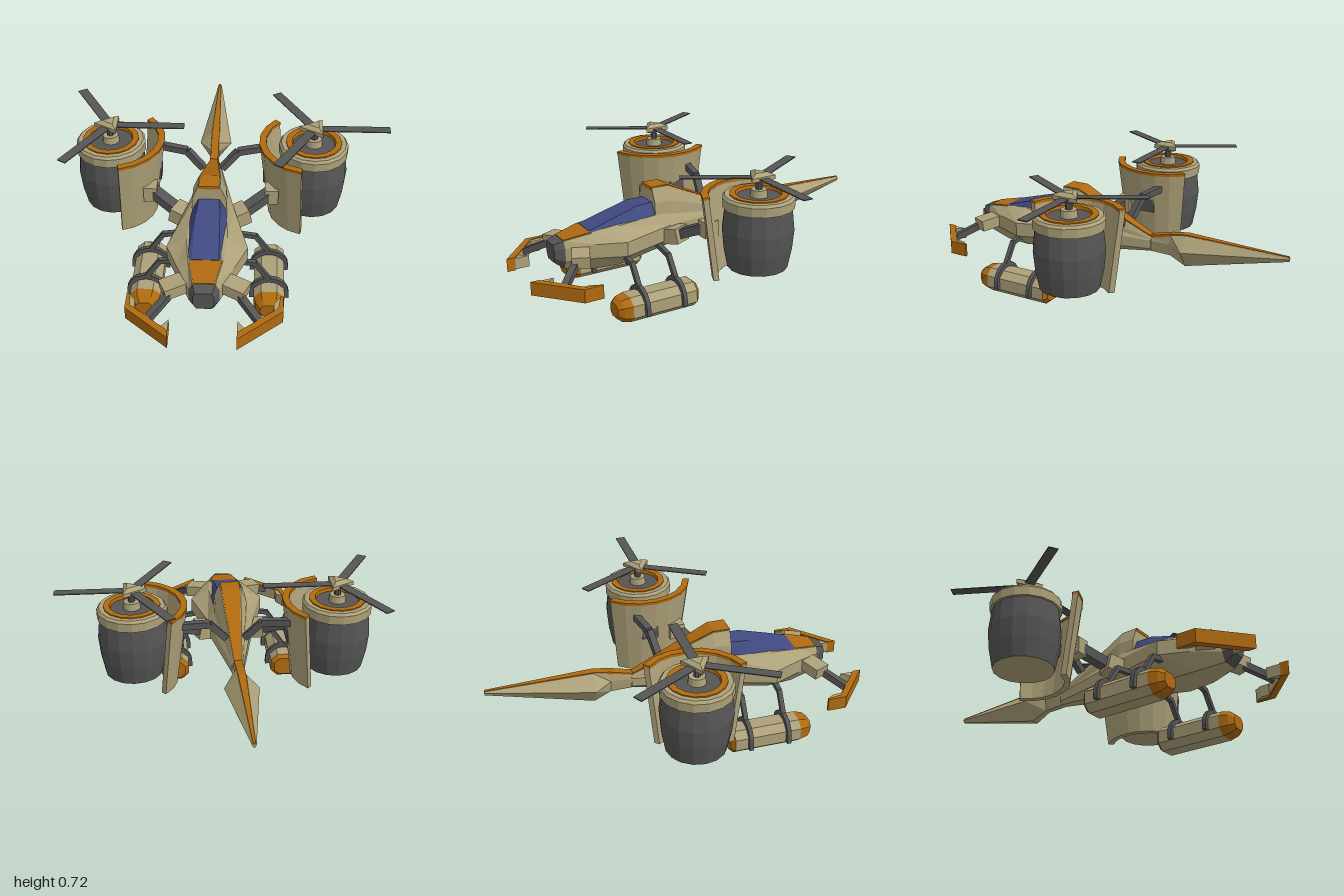
import * as THREE from 'three';

const mat = (color) => new THREE.MeshStandardMaterial({ color, flatShading: true });
const TAN = mat(0xada179), ORANGE = mat(0xb06a10), GREY = mat(0x555555), BLUE = mat(0x414b82);
const V = (x, y, z) => new THREE.Vector3(x, y, z);

// Reverses the triangles of a non-indexed geometry
function reverse(geo) {
  const p = geo.attributes.position;
  const a = V(), b = V();
  for (let i = 0; i < p.count; i += 3) {
    a.fromBufferAttribute(p, i + 1);
    b.fromBufferAttribute(p, i + 2);
    p.setXYZ(i + 1, b.x, b.y, b.z);
    p.setXYZ(i + 2, a.x, a.y, a.z);
  }
}

// Adds a mesh; s = -1 mirrors it to the right-hand side
function add(parent, name, geo, material, s = 1) {
  let g = geo;
  if (s < 0) {
    g = geo.index ? geo.toNonIndexed() : geo.clone();
    g.scale(-1, 1, 1);
    reverse(g);
  }
  g.computeVertexNormals();
  const mesh = new THREE.Mesh(g, material);
  mesh.name = name;
  parent.add(mesh);
}

// Closed solid through rings of points, always facing outwards
function loft(rings) {
  const out = [], n = rings[0].length;
  const tri = (a, b, c) => out.push(...a.toArray(), ...b.toArray(), ...c.toArray());
  for (let k = 0; k < rings.length - 1; k++) {
    for (let i = 0; i < n; i++) {
      const j = (i + 1) % n, A = rings[k], B = rings[k + 1];
      tri(A[i], A[j], B[j]);
      tri(A[i], B[j], B[i]);
    }
  }
  const first = rings[0], last = rings[rings.length - 1];
  for (let i = 1; i < n - 1; i++) {
    tri(first[0], first[i + 1], first[i]);
    tri(last[0], last[i], last[i + 1]);
  }
  const geo = new THREE.BufferGeometry();
  geo.setAttribute('position', new THREE.Float32BufferAttribute(out, 3));
  let volume = 0;
  for (let i = 0; i < out.length; i += 9) {
    volume += V(...out.slice(i, i + 3)).dot(V(...out.slice(i + 3, i + 6)).cross(V(...out.slice(i + 6, i + 9))));
  }
  if (volume < 0) reverse(geo);
  return geo;
}

// Symmetric hull: each section is [z, halfWidth, y, halfWidth, y, ...] from top to bottom
const hull = (sections, cx = 0) => loft(sections.map(([z, ...p]) => {
  const right = [], left = [];
  for (let i = 0; i < p.length; i += 2) {
    right.push(V(cx + p[i], p[i + 1], z));
    left.unshift(V(cx - p[i], p[i + 1], z));
  }
  return [...right, ...left];
}));

// Square beam between two points
function beam(p, q, w, h = w) {
  const a = V(...p), b = V(...q);
  const geo = new THREE.BoxGeometry(w, h, a.distanceTo(b));
  geo.applyMatrix4(new THREE.Matrix4().lookAt(a, b, V(0, 1, 0)));
  const m = a.add(b).multiplyScalar(0.5);
  return geo.translate(m.x, m.y, m.z);
}

const box = (w, h, d, x, y, z) => new THREE.BoxGeometry(w, h, d).translate(x, y, z);
const lathe = (pts, sides = 16) => new THREE.LatheGeometry(pts.map((p) => new THREE.Vector2(...p)), sides);

// Flat plan outline in x and z, from height y0 to y1
function slab(pts, y0, y1) {
  const shape = new THREE.Shape(pts.map(([x, z]) => new THREE.Vector2(x, -z)));
  const geo = new THREE.ExtrudeGeometry(shape, { depth: y1 - y0, bevelEnabled: false });
  return geo.rotateX(-Math.PI / 2).translate(0, y0, 0);
}

// Curved guard beside the engine, narrowing downwards
function shield(y0, y1, r0, r1, t) {
  const rings = [];
  for (let i = 0; i <= 7; i++) {
    const a = THREE.MathUtils.degToRad(-46 + i * 17.3);
    const at = (r, y) => V(0.53 - r * Math.cos(a), y, -0.065 + r * Math.sin(a));
    rings.push([at(r1, y1), at(r0, y0), at(r0 - t, y0), at(r1 - t, y1)]);
  }
  return loft(rings);
}

function buildEngine(parent, s) {
  const engine = new THREE.Group();
  engine.name = s > 0 ? 'leftEngine' : 'rightEngine';
  engine.position.set(s * 0.53, 0, -0.065);
  add(engine, 'engineBody', lathe([[0.152, 0.238], [0.172, 0.34], [0.181, 0.44], [0.168, 0.56]]), GREY);
  add(engine, 'engineBase', lathe([[0, 0.238], [0.152, 0.238]]), TAN);
  add(engine, 'engineCollar', lathe([[0.16, 0.553], [0.18, 0.553], [0.181, 0.6], [0.17, 0.614], [0.14, 0.614]]), TAN);
  add(engine, 'intakeRing', lathe([[0.146, 0.605], [0.146, 0.62], [0.115, 0.62], [0.11, 0.6]]), ORANGE);
  add(engine, 'intakeDisc', lathe([[0.115, 0.603], [0, 0.603]]), GREY);
  add(engine, 'shaftBase', lathe([[0.045, 0.6], [0.04, 0.64], [0, 0.64]]), TAN);
  add(engine, 'shaft', lathe([[0.018, 0.63], [0.018, 0.69]], 8), GREY);
  const hub = lathe([[0, 0.676], [0.035, 0.676], [0.08, 0.69], [0.08, 0.71], [0.04, 0.727], [0, 0.727]], 3);
  add(engine, 'rotorHub', hub.rotateY(-Math.PI / 2), TAN);
  for (let i = 0; i < 3; i++) {
    add(engine, 'rotorBlade', box(0.36, 0.005, 0.05, 0.207, 0.7, 0).rotateY(i * Math.PI * 2 / 3), GREY);
  }
  parent.add(engine);
}

function buildSide(parent, s) {
  const side = new THREE.Group();
  side.name = s > 0 ? 'leftSide' : 'rightSide';
  parent.add(side);
  const put = (name, geo, m) => add(side, name, geo, m, s);
  buildEngine(side, s);

  // Engine guard and the struts that carry it
  put('engineGuard', shield(0.175, 0.605, 0.228, 0.282, 0.03), TAN);
  put('guardRim', shield(0.603, 0.618, 0.284, 0.285, 0.036), ORANGE);
  put('engineLink', box(0.1, 0.07, 0.09, 0.32, 0.42, -0.065), GREY);
  put('frontStrut', beam([0.12, 0.31, 0.2], [0.33, 0.41, 0.08], 0.06, 0.05), GREY);
  put('frontStrutRoot', beam([0.08, 0.31, 0.22], [0.19, 0.335, 0.17], 0.1, 0.08), TAN);
  put('frontStrutEnd', box(0.07, 0.085, 0.08, 0.315, 0.395, 0.09), TAN);
  const elbow = [[0.05, 0.42, -0.09], [0.135, 0.515, -0.11], [0.28, 0.525, -0.14]];
  put('rearStrut', beam(elbow[0], elbow[1], 0.035), GREY);
  put('rearStrut', beam(elbow[1], elbow[2], 0.035), GREY);

  // Angled front skid
  put('skidEdge', slab([[0.375, 0.71], [0.375, 0.81], [0.16, 0.995], [0.16, 0.95], [0.35, 0.79], [0.362, 0.71]], 0.18, 0.25), ORANGE);
  put('skidInside', slab([[0.362, 0.71], [0.35, 0.79], [0.16, 0.95], [0.16, 0.875], [0.195, 0.92], [0.33, 0.8], [0.33, 0.755]], 0.185, 0.245), TAN);
  put('skidStrut', beam([0.14, 0.31, 0.73], [0.27, 0.225, 0.87], 0.035), GREY);
  put('skidMount', beam([0.08, 0.32, 0.69], [0.2, 0.305, 0.745], 0.09, 0.06), TAN);

  // Underslung pod with coloured ends
  const ring = (z, k) => [z, 0.04 * k, 0.07 + 0.066 * k, 0.077 * k, 0.07 + 0.032 * k, 0.077 * k, 0.07 - 0.032 * k, 0.04 * k, 0.07 - 0.066 * k];
  put('pod', hull([ring(0.2, 1), ring(0.56, 1)], 0.31), TAN);
  put('podNose', hull([ring(0.56, 1), ring(0.605, 0.85), ring(0.63, 0.55)], 0.31), ORANGE);
  put('podTail', hull([ring(0.18, 0.75), ring(0.2, 1)], 0.31), ORANGE);

  // Arched clamps and their hangers
  const arch = new THREE.Shape();
  arch.moveTo(0.1, -0.03).lineTo(0.1, 0).absarc(0, 0, 0.1, 0, Math.PI).lineTo(-0.1, -0.03);
  arch.lineTo(-0.075, -0.03).lineTo(-0.075, 0).absarc(0, 0, 0.075, Math.PI, 0, true).lineTo(0.075, -0.03);
  for (const z of [0.28, 0.488]) {
    const clamp = new THREE.ExtrudeGeometry(arch, { depth: 0.022, bevelEnabled: false, curveSegments: 6 });
    put('podClamp', clamp.translate(0.31, 0.07, z - 0.011), GREY);
    put('podHanger', beam([0.08, 0.285, z], [0.24, 0.26, z], 0.024), GREY);
    put('podHanger', beam([0.235, 0.265, z], [0.31, 0.155, z], 0.024), GREY);
  }
}

export function createModel() {
  const model = new THREE.Group();
  model.name = 'rotorcraft';
  const craft = new THREE.Group();
  craft.name = 'craft';
  craft.position.x = -0.09;
  model.add(craft);

  // Fuselage
  const noseRing = [0.77, 0.055, 0.375, 0.072, 0.34, 0.072, 0.27, 0.045, 0.225];
  add(craft, 'fuselage', hull([
    noseRing,
    [0.63, 0.085, 0.4, 0.14, 0.358, 0.14, 0.285, 0.08, 0.205],
    [0.49, 0.1, 0.415, 0.2, 0.36, 0.2, 0.285, 0.09, 0.2],
    [0.2, 0.085, 0.43, 0.125, 0.37, 0.125, 0.295, 0.06, 0.235],
    [-0.25, 0.022, 0.355, 0.03, 0.345, 0.03, 0.3, 0.018, 0.285],
  ]), TAN);
  add(craft, 'nose', hull([noseRing, [0.82, 0.04, 0.36, 0.05, 0.335, 0.05, 0.29, 0.035, 0.265]]), GREY);
  add(craft, 'noseStripe', hull([[0.77, 0.05, 0.379, 0.05, 0.36], [0.635, 0.08, 0.404, 0.08, 0.38]]), ORANGE);
  add(craft, 'canopy', hull([
    [0.635, 0.065, 0.406, 0.085, 0.395],
    [0.36, 0.058, 0.485, 0.1, 0.41],
    [0.26, 0.052, 0.487, 0.085, 0.42],
  ]), BLUE);

  // Raised back sloping down to the tail
  add(craft, 'spine', hull([
    [0.27, 0.055, 0.562, 0.085, 0.49, 0.09, 0.41],
    [0.18, 0.055, 0.562, 0.085, 0.49, 0.09, 0.41],
    [-0.25, 0.02, 0.362, 0.026, 0.352, 0.028, 0.34],
  ]), TAN);
  add(craft, 'spineStripe', hull([
    [0.272, 0.052, 0.567, 0.052, 0.55],
    [0.18, 0.05, 0.567, 0.05, 0.55],
    [-0.25, 0.018, 0.367, 0.018, 0.35],
  ]), ORANGE);

  // Tail boom and long pointed tail
  add(craft, 'tail', hull([
    [-0.22, 0.02, 0.36, 0.025, 0.34, 0.018, 0.285],
    [-0.36, 0.02, 0.395, 0.025, 0.345, 0.015, 0.28],
    [-0.45, 0.022, 0.408, 0.088, 0.335, 0.02, 0.24],
    [-1, 0.006, 0.393, 0.01, 0.385, 0.005, 0.372],
  ]), TAN);
  add(craft, 'tailStripe', hull([
    [-0.22, 0.021, 0.365, 0.021, 0.34],
    [-0.36, 0.021, 0.4, 0.021, 0.38],
    [-0.45, 0.02, 0.413, 0.02, 0.39],
    [-1, 0.006, 0.397, 0.006, 0.385],
  ]), ORANGE);

  for (const s of [1, -1]) buildSide(craft, s);
  return model;
}
